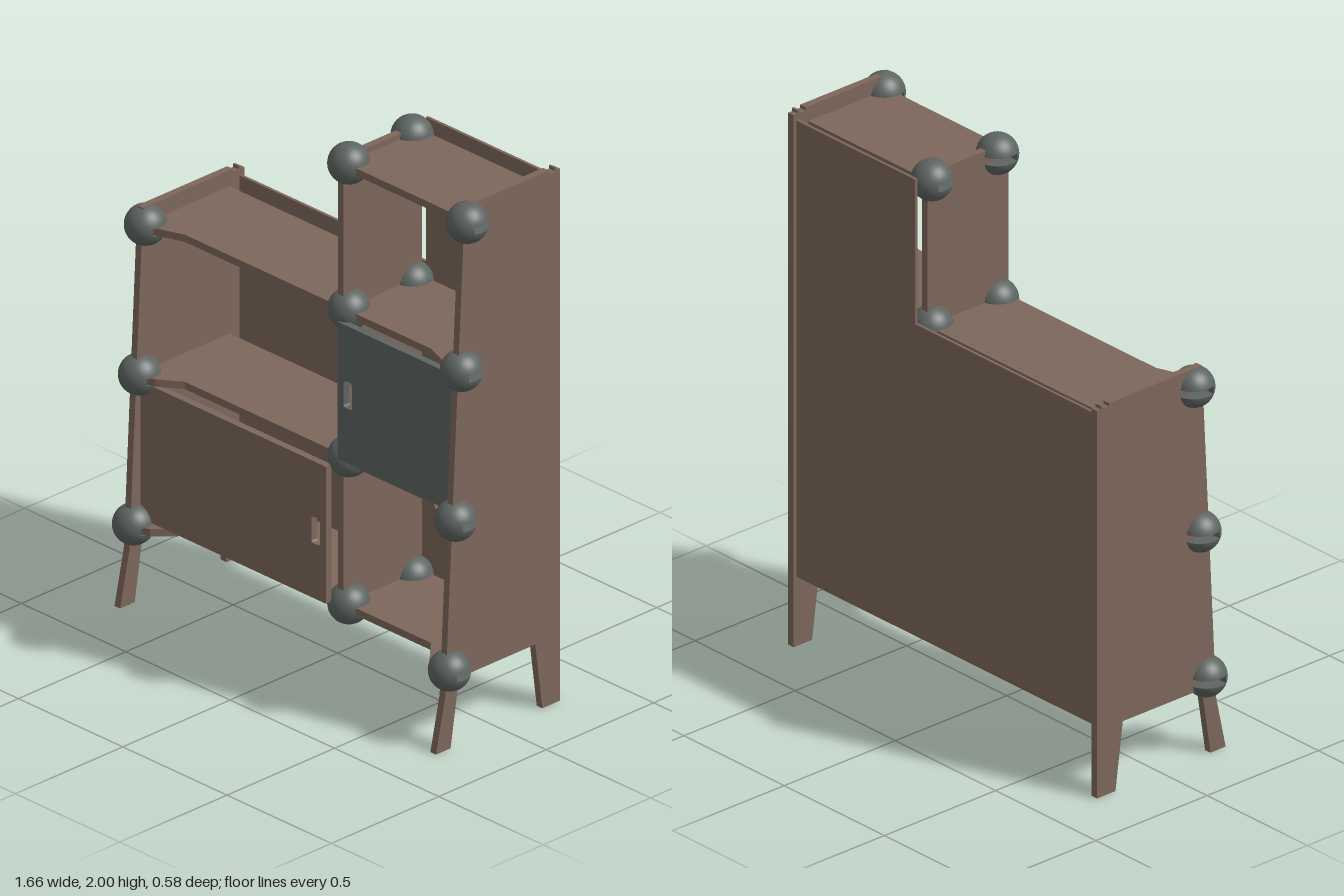
import * as THREE from 'three';
import { mergeGeometries } from 'three/addons/utils/BufferGeometryUtils.js';

const T = 0.027; // board thickness
const R = 0.073; // connector ball radius
const SIDE_X = 0.757, MID_X = 0.165;
const LEVELS = [0.286, 0.836, 1.386, 1.93];
const frontZ = (y) => 0.247 - (y - 0.2) * 0.0505; // sloping front edge of the sides

function shapeOf(points) {
  return new THREE.Shape(points.map(([x, y]) => new THREE.Vector2(x, y)));
}

function board(shape, depth) {
  return new THREE.ExtrudeGeometry(shape, { depth, bevelEnabled: false, curveSegments: 6 });
}

// Upright side with tapered splayed legs, notched at the top rear
function sideGeometry(top) {
  const g = board(shapeOf([
    [-0.288, 0], [-0.205, 0], [-0.172, 0.25], [0.183, 0.25], [0.222, 0], [0.29, 0],
    [0.247, 0.2], [frontZ(top), top], [-0.235, top], [-0.235, top - 0.012],
    [-0.262, top - 0.012], [-0.262, top], [-0.27, top], [-0.27, top - 0.012], [-0.288, top - 0.012],
  ]), T);
  return g.rotateY(-Math.PI / 2).translate(T / 2, 0, 0);
}

// Horizontal shelf whose front flares out to meet the side boards
function shelfGeometry(x0, x1, y) {
  const back = -0.22, front = 0.138, end = frontZ(y) - 0.008;
  const pts = [[x0, back], [x1, back]];
  pts.push([x1, end], [0.71, end], [0.67, end - 0.012], [0.59, front]);
  if (x0 < 0) pts.push([-0.59, front], [-0.67, end - 0.012], [-0.71, end], [x0, end]);
  else pts.push([x0, front]);
  return board(shapeOf(pts), T).rotateX(Math.PI / 2).translate(0, y + T / 2, 0);
}

// Ball split by a horizontal slot, closed by a solid cap on one z side
function ballGeometry(dir) {
  const h = T / 2, cut = 0.03;
  const cap = (d) => {
    const a = Math.acos(d / R);
    const dome = new THREE.SphereGeometry(R, 32, 12, 0, Math.PI * 2, 0, a);
    const disc = new THREE.CircleGeometry(R * Math.sin(a), 32).rotateX(Math.PI / 2).translate(0, d, 0);
    return mergeGeometries([dome, disc]);
  };
  return mergeGeometries([
    cap(h), cap(h).rotateX(Math.PI), cap(cut).rotateX(dir * Math.PI / 2),
  ]);
}

// Door panel with a rounded finger hole
function doorGeometry(x0, x1, y0, y1, hx, hy) {
  const s = shapeOf([[x0, y0], [x1, y0], [x1, y1], [x0, y1]]);
  const w = 0.021, h = 0.05, r = 0.012;
  const hole = new THREE.Path();
  hole.moveTo(hx - w + r, hy - h);
  hole.lineTo(hx + w - r, hy - h);
  hole.quadraticCurveTo(hx + w, hy - h, hx + w, hy - h + r);
  hole.lineTo(hx + w, hy + h - r);
  hole.quadraticCurveTo(hx + w, hy + h, hx + w - r, hy + h);
  hole.lineTo(hx - w + r, hy + h);
  hole.quadraticCurveTo(hx - w, hy + h, hx - w, hy + h - r);
  hole.lineTo(hx - w, hy - h + r);
  hole.quadraticCurveTo(hx - w, hy - h, hx - w + r, hy - h);
  s.holes.push(hole);
  return board(s, T);
}

export function createModel() {
  const model = new THREE.Group();
  model.name = 'steppedCabinet';
  const wood = new THREE.MeshStandardMaterial({ color: 0x7d675b });
  wood.name = 'brown wood';
  const grey = new THREE.MeshStandardMaterial({ color: 0x5d6461 });
  grey.name = 'slate grey';

  const add = (name, geometry, material, x = 0, y = 0, z = 0) => {
    const mesh = new THREE.Mesh(geometry, material);
    mesh.name = name;
    mesh.position.set(x, y, z);
    model.add(mesh);
  };

  // Sides and divider
  add('leftSide', sideGeometry(2), wood, SIDE_X);
  add('rightSide', sideGeometry(1.46), wood, -SIDE_X);
  add('divider', new THREE.BoxGeometry(T, 1.7, 0.365), wood, MID_X, 1.115, -0.0375);

  // Shelves: three full width, the top one over the tall bay
  LEVELS.forEach((y, i) => {
    add('shelf', shelfGeometry(i < 3 ? -SIDE_X : MID_X, SIDE_X, y), wood);
  });

  // Stepped back panel
  add('backPanel', board(shapeOf([
    [-0.757, 0.26], [0.757, 0.26], [0.757, 1.965], [0.15, 1.965], [0.15, 1.425], [-0.757, 1.425],
  ]), 0.011), wood, 0, 0, -0.276);

  // Doors
  add('lowerDoor', doorGeometry(-0.743, 0.145, 0.305, 0.817, 0.096, 0.56), wood, 0, 0, 0.168);
  add('upperDoor', doorGeometry(0.183, 0.738, 0.855, 1.368, 0.233, 1.11), grey, 0, 0, 0.152);

  // Connector balls
  const frontBall = ballGeometry(1), backBall = ballGeometry(-1);
  LEVELS.forEach((y, i) => {
    const z = frontZ(y) - 0.029;
    add('leftBall', frontBall, grey, SIDE_X, y, z);
    if (i < 3) add('rightBall', frontBall, grey, -SIDE_X, y, z);
    add('dividerFrontBall', frontBall, grey, MID_X, y, 0.107);
    add('dividerBackBall', backBall, grey, MID_X, y, -0.187);
  });

  return model;
}
